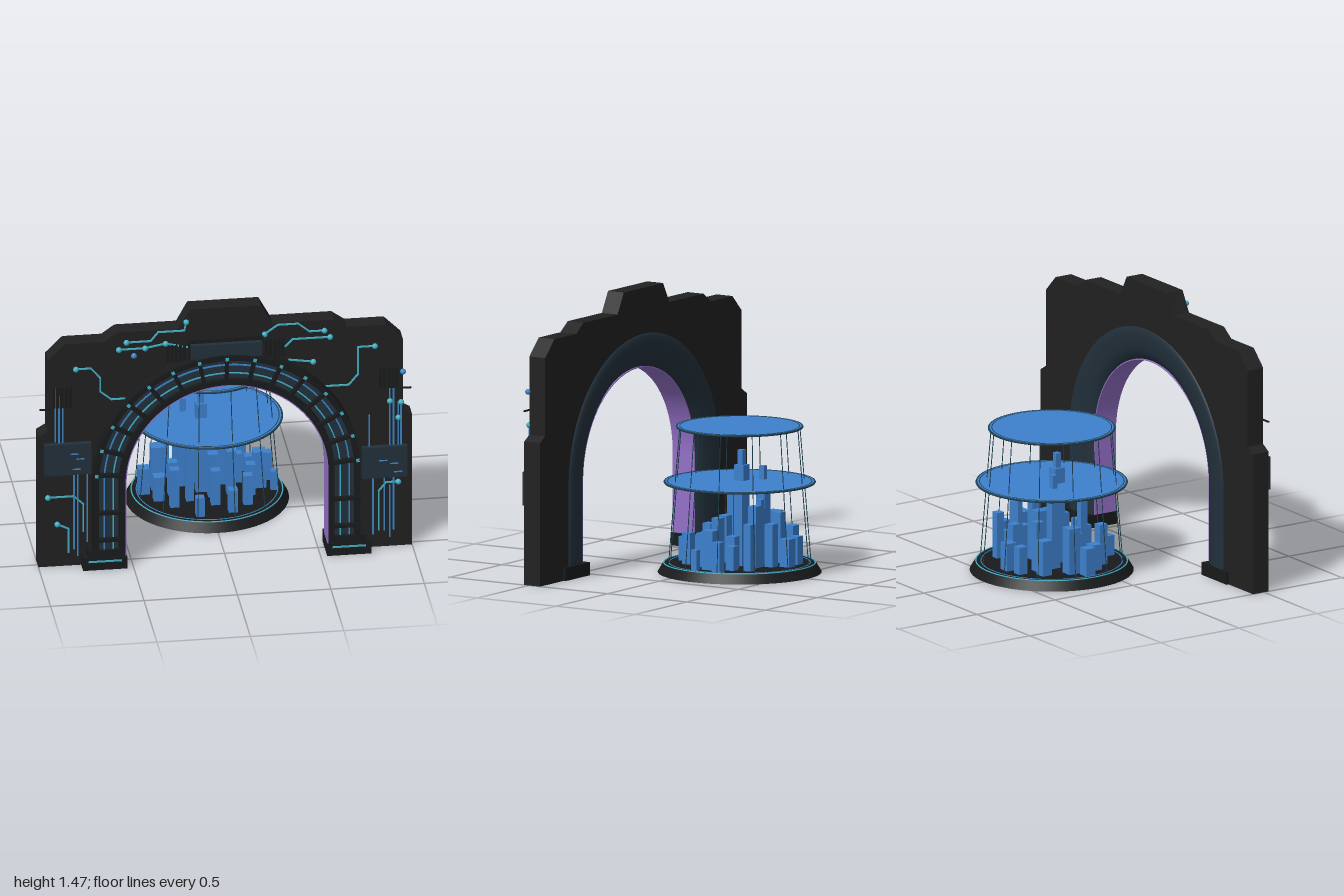
import * as THREE from 'three';
import { mergeGeometries } from 'three/addons/utils/BufferGeometryUtils.js';

const mat = (name, color, side = THREE.FrontSide) => {
  const m = new THREE.MeshStandardMaterial({ color, side });
  m.name = name;
  return m;
};
const CY = 0.5; // height where the legs turn into the round arch

export function createModel() {
  const M = {
    wall: mat('charcoal', 0x212121),
    trim: mat('black trim', 0x181a1b),
    navy: mat('dark navy', 0x22303b, THREE.DoubleSide),
    teal: mat('teal', 0x41b0c4),
    azure: mat('azure line', 0x3a86c8),
    blue: mat('city blue', 0x3d80cd),
    purple: mat('purple', 0x9470c8, THREE.DoubleSide),
    rod: mat('rod blue', 0x1f4152),
  };
  const model = new THREE.Group();
  const add = (name, geo, material, parent = model) => {
    const mesh = new THREE.Mesh(geo, material);
    mesh.name = name;
    parent.add(mesh);
    return mesh;
  };
  const boxGeo = (x0, x1, y0, y1, z0, z1) =>
    new THREE.BoxGeometry(x1 - x0, y1 - y0, z1 - z0).translate((x0 + x1) / 2, (y0 + y1) / 2, (z0 + z1) / 2);
  const extrude = (shape, z0, z1) =>
    new THREE.ExtrudeGeometry(shape, { depth: z1 - z0, bevelEnabled: false, curveSegments: 48 }).translate(0, 0, z0);

  // Arch-shaped band between two radii, with straight legs down to y0
  const archBand = (r0, r1, z0, z1, y0 = 0) => {
    const s = new THREE.Shape();
    s.moveTo(r1, y0).lineTo(r1, CY);
    s.absarc(0, CY, r1, 0, Math.PI, false);
    s.lineTo(-r1, y0).lineTo(-r0, y0).lineTo(-r0, CY);
    s.absarc(0, CY, r0, Math.PI, 0, true);
    s.lineTo(r0, y0);
    return extrude(s, z0, z1);
  };

  // Wall with stepped top and an arched opening
  const half = [[1, 0], [1, 0.77], [0.95, 0.8], [0.95, 1.22], [0.86, 1.31], [0.65, 1.31], [0.58, 1.36], [0.25, 1.36], [0.19, 1.47]];
  const wall = new THREE.Shape();
  wall.moveTo(0.71, 0);
  half.forEach(([x, y]) => wall.lineTo(x, y));
  [...half].reverse().forEach(([x, y]) => wall.lineTo(-x, y));
  wall.lineTo(-0.71, 0).lineTo(-0.71, CY);
  wall.absarc(0, CY, 0.71, Math.PI, 0, true);
  wall.lineTo(0.71, 0);
  add('wall', extrude(wall, 0.43, 0.53), M.wall);

  // Arch mouldings on the front
  add('archBase', archBand(0.545, 0.712, 0.52, 0.572), M.trim);
  add('archPanel', archBand(0.578, 0.682, 0.572, 0.58), M.navy);
  add('archOuterRim', archBand(0.685, 0.715, 0.53, 0.598), M.trim);
  add('archInnerRim', archBand(0.543, 0.575, 0.53, 0.598), M.trim);
  add('archLining', archBand(0.537, 0.543, 0.46, 0.597), M.purple);
  add('archOuterLight', archBand(0.652, 0.66, 0.58, 0.585, 0.08), M.azure);
  add('archInnerLight', archBand(0.604, 0.611, 0.58, 0.585, 0.08), M.teal);

  // Rounded arch surround on the back, swept along the arch
  const profile = [[0.725, 0.432], [0.715, 0.42], [0.68, 0.42], [0.64, 0.424], [0.6, 0.432], [0.565, 0.445], [0.54, 0.47]];
  const steps = [[0, 0]];
  for (let i = 0; i <= 48; i++) steps.push([(Math.PI * i) / 48, CY]);
  steps.push([Math.PI, 0]);
  const pos = [], idx = [], n = profile.length;
  steps.forEach(([a, y], i) => profile.forEach(([r, z], j) => {
    pos.push(r * Math.cos(a), y + r * Math.sin(a), z);
    if (i && j) {
      const p = i * n + j;
      idx.push(p - n - 1, p - 1, p, p - n - 1, p, p - n);
    }
  }));
  const back = new THREE.BufferGeometry();
  back.setAttribute('position', new THREE.Float32BufferAttribute(pos, 3));
  back.setIndex(idx);
  back.computeVertexNormals();
  add('archBackSurround', back, M.navy);

  // Ribs across the arch, each with a small light at its outer end
  const ribs = [], ribLights = [];
  for (let i = -7; i <= 7; i++) {
    const a = i * 12.2 * Math.PI / 180;
    const place = (g) => g.rotateZ(a).translate(0, CY, 0);
    ribs.push(place(boxGeo(-0.01, 0.01, 0.555, 0.715, 0.56, 0.608)));
    ribLights.push(place(boxGeo(-0.009, 0.009, 0.692, 0.71, 0.605, 0.613)));
  }
  for (const s of [-1, 1]) for (const y of [0.17, 0.33]) {
    ribs.push(boxGeo(-0.08, 0.08, y - 0.009, y + 0.009, 0.56, 0.608).translate(s * 0.635, 0, 0));
  }
  add('archRibs', mergeGeometries(ribs), M.trim);
  add('ribLights', mergeGeometries(ribLights), M.teal);

  // Feet, side antennas
  for (const s of [-1, 1]) {
    const foot = new THREE.Group();
    foot.name = s > 0 ? 'leftFoot' : 'rightFoot';
    add('footBlock', boxGeo(-0.118, 0.118, 0, 0.07, 0.417, 0.607), M.trim, foot);
    add('footPlinth', boxGeo(-0.09, 0.09, 0.07, 0.11, 0.5, 0.602), M.trim, foot);
    add('footLight', boxGeo(-0.09, 0.09, 0.046, 0.056, 0.606, 0.611), M.teal, foot);
    foot.position.x = s * 0.653;
    model.add(foot);
    add('antenna', boxGeo(-0.03, 0.03, 0.928, 0.936, 0.53, 0.538).translate(s * 0.965, 0, 0), M.trim);
  }

  // Keystone and control panels
  add('keystoneBack', boxGeo(-0.2, 0.2, 1.19, 1.3, 0.53, 0.56), M.trim);
  add('keystonePanel', boxGeo(-0.19, 0.19, 1.2, 1.28, 0.56, 0.587), M.navy);
  add('rightPanel', boxGeo(-0.97, -0.72, 0.55, 0.73, 0.53, 0.562), M.navy);
  add('leftPanel', boxGeo(0.73, 0.97, 0.42, 0.6, 0.53, 0.562), M.navy);
  const marks = [[-0.81, 0.67], [-0.78, 0.64], [-0.8, 0.58], [0.9, 0.5], [0.92, 0.45], [0.84, 0.52]];
  add('panelMarks', mergeGeometries(marks.map(([x, y]) => boxGeo(x - 0.022, x + 0.022, y, y + 0.006, 0.562, 0.566))), M.azure);
  const vents = [];
  for (const s of [-1, 1]) for (let i = 0; i < 5; i++) {
    vents.push(boxGeo(-0.007, 0.007, 1.17, 1.27, 0.53, 0.545).translate(s * (0.22 + i * 0.022), 0, 0));
    vents.push(boxGeo(-0.007, 0.007, 0.94, 1.06, 0.53, 0.545).translate(s * (0.83 + i * 0.022), 0, 0));
  }
  add('vents', mergeGeometries(vents), M.trim);

  // Circuit traces: flat strips along a polyline
  const strip = (pts) => pts.slice(1).map(([x, y], i) => {
    const [px, py] = pts[i];
    const len = Math.hypot(x - px, y - py) + 0.006;
    return new THREE.BoxGeometry(len, 0.008, 0.009).rotateZ(Math.atan2(y - py, x - px))
      .translate((x + px) / 2, (y + py) / 2, 0.534);
  });
  const traces = [
    [[-0.8, 1.16], [-0.72, 1.16], [-0.67, 1.1], [-0.67, 1.02], [-0.61, 0.97], [-0.53, 0.97]],
    [[-0.53, 1.3], [-0.4, 1.3], [-0.36, 1.35], [-0.22, 1.35], [-0.21, 1.4]],
    [[-0.57, 1.26], [-0.43, 1.26], [-0.32, 1.28], [-0.2, 1.25]],
    [[-0.95, 0.41], [-0.81, 0.41], [-0.76, 0.36], [-0.76, 0.2]],
    [[-0.9, 0.25], [-0.84, 0.22], [-0.84, 0.08]],
    [[0.8, 1.19], [0.71, 1.19], [0.71, 1.03], [0.66, 0.97], [0.53, 0.97]],
    [[0.21, 1.3], [0.28, 1.35], [0.39, 1.35], [0.45, 1.3], [0.53, 1.3]],
    [[0.56, 1.26], [0.36, 1.26], [0.32, 1.22]],
    [[0.47, 1.12], [0.34, 1.14]],
    [[0.92, 0.38], [0.86, 0.38], [0.82, 0.33], [0.82, 0.1]],
  ];
  add('circuitTraces', mergeGeometries(traces.flatMap(strip)), M.teal);
  const runs = [
    [-0.91, 0.74, 1.05], [-0.89, 0.73, 1.0], [-0.87, 0.73, 1.03], [-0.81, 0.1, 0.55], [-0.79, 0.06, 0.55], [-0.74, 0.14, 0.55],
    [0.77, 0.6, 0.78], [0.88, 0.6, 1.03], [0.9, 0.6, 0.98], [0.925, 0.6, 0.85], [0.94, 0.6, 0.83],
    [0.79, 0.08, 0.42], [0.85, 0.1, 0.42], [0.88, 0.06, 0.36], [0.9, 0.1, 0.42],
  ];
  add('circuitRuns', mergeGeometries(runs.flatMap(([x, a, b]) => strip([[x, a], [x, b]]))), M.azure);

  // Round nodes at the trace ends
  const nodes = [[-0.8, 1.16], [-0.53, 1.3], [-0.21, 1.4], [-0.57, 1.26], [-0.43, 1.26], [-0.32, 1.28], [-0.95, 0.41], [-0.9, 0.25],
    [0.8, 1.19], [0.21, 1.3], [0.53, 1.3], [0.56, 1.26], [0.47, 1.12], [0.88, 0.86], [0.94, 0.85], [0.925, 0.76], [0.925, 0.38]];
  const node = ([x, y]) => new THREE.SphereGeometry(0.016, 12, 8).translate(x, y, 0.538);
  add('circuitNodes', mergeGeometries(nodes.map(node)), M.teal);
  add('blueNodes', mergeGeometries([[-0.49, 1.22], [0.95, 1.03]].map(node)), M.azure);

  // City display: tapered base, two floating discs, slanted rods
  const city = new THREE.Group();
  city.name = 'cityDisplay';
  city.position.z = -0.18;
  model.add(city);
  const ring = (r, y, t) => new THREE.TorusGeometry(r, t, 6, 72).rotateX(Math.PI / 2).translate(0, y, 0);
  add('base', new THREE.CylinderGeometry(0.405, 0.435, 0.05, 64).translate(0, 0.025, 0), M.trim, city);
  add('baseRing', ring(0.402, 0.05, 0.004), M.teal, city);
  add('baseInnerRing', ring(0.375, 0.05, 0.003), M.azure, city);
  for (const [r, y] of [[0.398, 0.483], [0.333, 0.78]]) {
    add('disc', new THREE.CylinderGeometry(r, r, 0.008, 64).translate(0, y, 0), M.blue, city);
    add('discRim', ring(r, y, 0.006), M.rod, city);
    add('discLine', ring(r - 0.015, y + 0.003, 0.003), M.rod, city);
  }
  const rods = [];
  for (let i = 0; i < 12; i++) {
    const a = (i + 0.5) * Math.PI / 6, c = Math.cos(a), s = Math.sin(a);
    const path = new THREE.LineCurve3(new THREE.Vector3(c * 0.385, 0.05, s * 0.385), new THREE.Vector3(c * 0.325, 0.78, s * 0.325));
    rods.push(new THREE.TubeGeometry(path, 1, 0.0025, 5));
  }
  add('rods', mergeGeometries(rods), M.rod, city);

  // Towers: x, z, width, height
  const towers = [
    [-0.035, 0.01, 0.06, 0.57], [-0.035, 0.01, 0.032, 0.65], [-0.12, -0.07, 0.055, 0.48], [-0.12, -0.07, 0.03, 0.56],
    [-0.11, 0.12, 0.04, 0.4], [-0.1, 0.125, 0.025, 0.48], [0.08, -0.06, 0.05, 0.45], [0.1, -0.16, 0.05, 0.38],
    [0.06, -0.17, 0.03, 0.41], [0.02, 0.08, 0.055, 0.3], [-0.03, -0.1, 0.06, 0.35], [0.12, 0.06, 0.05, 0.3],
    [-0.26, -0.05, 0.07, 0.3], [0.21, -0.2, 0.045, 0.3], [0.28, 0, 0.07, 0.26], [0.33, -0.08, 0.05, 0.21], [-0.34, 0, 0.06, 0.2],
    [-0.02, -0.29, 0.06, 0.2], [-0.12, -0.28, 0.05, 0.2], [0.1, 0.28, 0.05, 0.18], [-0.08, 0.31, 0.045, 0.16],
    [-0.2, 0.18, 0.05, 0.27], [0.19, 0.2, 0.05, 0.22], [-0.21, -0.19, 0.06, 0.24], [0.22, 0.09, 0.05, 0.23],
    [-0.27, 0.09, 0.06, 0.19], [0.02, 0.18, 0.05, 0.25], [0.35, 0.05, 0.035, 0.16], [0.17, -0.07, 0.05, 0.22],
    [-0.19, 0.03, 0.05, 0.24], [0.03, -0.22, 0.05, 0.28], [-0.12, -0.17, 0.05, 0.32], [0.24, -0.11, 0.05, 0.18],
  ];
  add('towers', mergeGeometries(towers.map(([x, z, w, h]) =>
    boxGeo(x - w / 2, x + w / 2, 0.05, h, z - w / 2, z + w / 2))), M.blue, city);

  return model;
}
